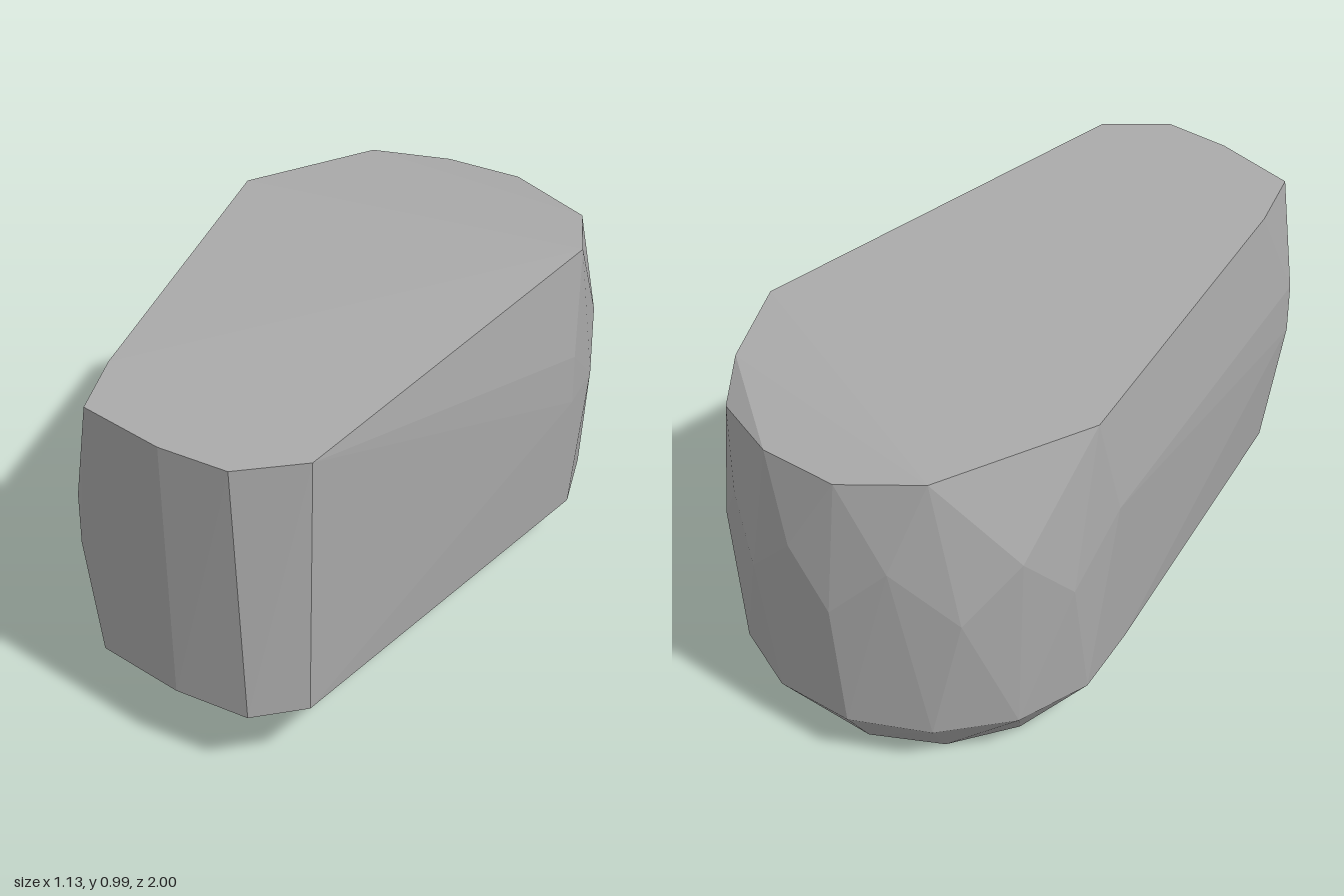
import * as THREE from 'three';
import { ConvexGeometry } from 'three/addons/geometries/ConvexGeometry.js';

// Partial ellipse around the rounded back end; angles run from +x towards -z
function arc(y, cx, cz, rx, rz, from, to, count) {
  return Array.from({ length: count }, (_, i) => {
    const a = THREE.MathUtils.degToRad(from + (to - from) * i / (count - 1));
    return new THREE.Vector3(cx + rx * Math.cos(a), y, cz - rz * Math.sin(a));
  });
}

export function createModel() {
  const group = new THREE.Group();
  group.name = 'taperedBlock';
  const grey = new THREE.MeshStandardMaterial({ color: 0xaaaaaa, flatShading: true });
  grey.name = 'grey';

  const points = [
    // Flat underside and the chamfer ring above it
    ...arc(0.005, 0.01, -0.455, 0.41, 0.405, 0, 330, 12),
    ...arc(0.15, 0.01, -0.44, 0.535, 0.53, -10, 190, 9)
  ];

  // Bulging middle: slightly wider than the top and bottom
  const waist = [
    [0.545, -0.29], [0.565, -0.47], [0.55, -0.57], [0.48, -0.75], [0.39, -0.84],
    [0.3, -0.915], [0.15, -0.98], [0.03, -1], [-0.13, -0.98], [-0.3, -0.91],
    [-0.42, -0.8], [-0.5, -0.66], [-0.545, -0.48], [-0.57, 0.75]
  ];
  waist.forEach(([x, z], i) => {
    const ys = i === 0 || i === 13 ? [0.53, 0.68] : [i % 2 ? 0.53 : 0.69];
    ys.forEach(y => points.push(new THREE.Vector3(x, y, z)));
  });

  // Top rim, sloping down slightly at the back
  const rim = [
    [-0.51, 0.99, 0.81], [-0.27, 0.99, 0.94], [-0.07, 0.99, 1], [0.115, 0.99, 0.91],
    [0.54, 0.99, -0.36], [0.49, 0.96, -0.63], [0.44, 0.9, -0.77], [0.24, 0.92, -0.92],
    [0.01, 0.925, -0.98], [-0.22, 0.955, -0.92], [-0.51, 0.985, -0.55], [-0.53, 0.99, 0.58]
  ];
  // Lower edge of the nose
  const nose = [
    [0.09, 0.21, 0.88], [-0.055, 0.21, 0.96], [-0.27, 0.21, 0.9],
    [-0.515, 0.21, 0.775], [-0.525, 0.165, 0.7]
  ];
  [...rim, ...nose].forEach(p => points.push(new THREE.Vector3(...p)));

  const body = new THREE.Mesh(new ConvexGeometry(points), grey);
  body.name = 'body';
  group.add(body);
  return group;
}
